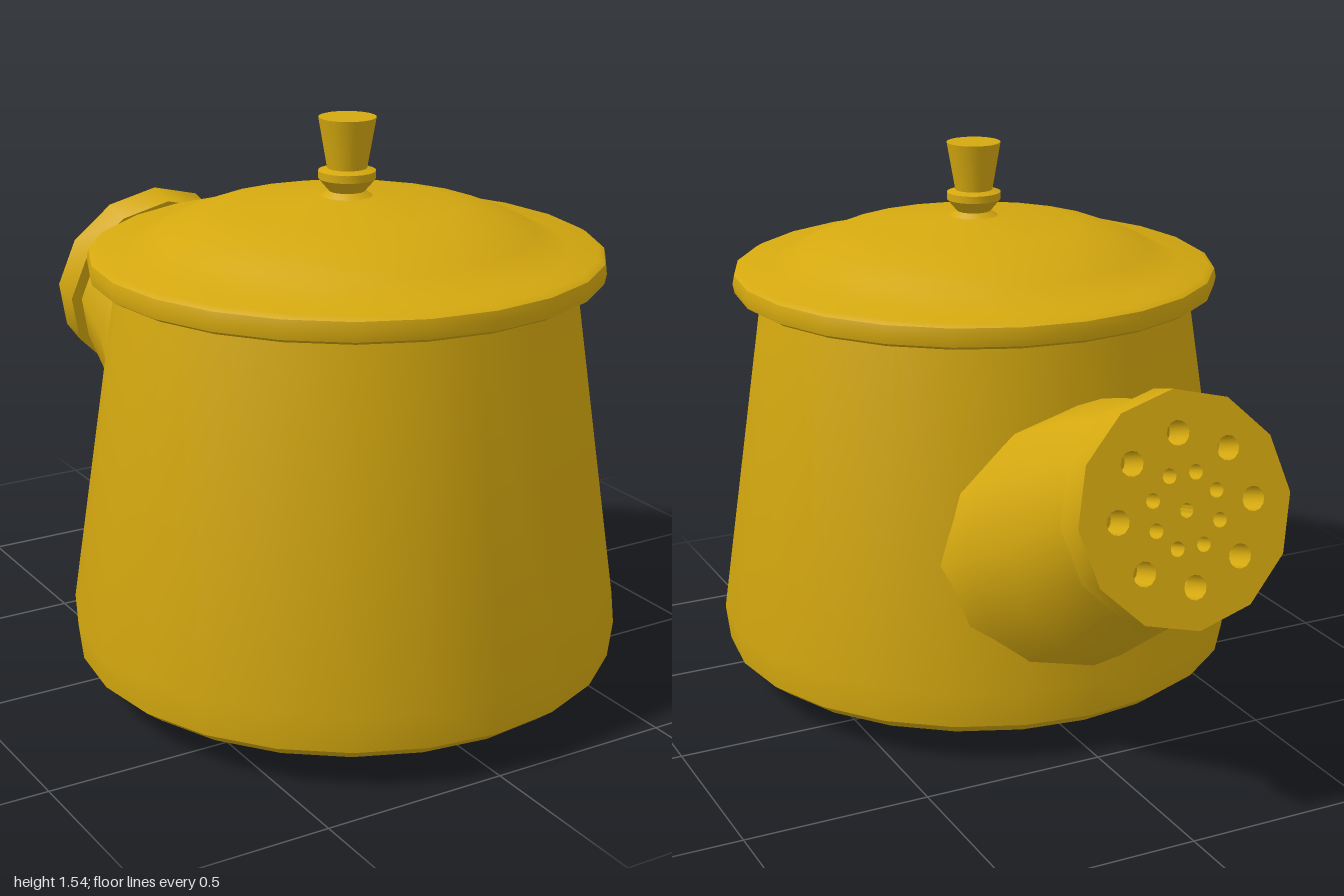
import * as THREE from 'three';
import { toCreasedNormals } from 'three/addons/utils/BufferGeometryUtils.js';

const material = new THREE.MeshStandardMaterial({ color: 0xd4a80f, side: THREE.DoubleSide });
const AXIS_Z = 0.26; // centre of the pot

function addMesh(parent, name, geometry) {
  const mesh = new THREE.Mesh(geometry, material);
  mesh.name = name;
  parent.add(mesh);
  return mesh;
}

// Turned part about the pot's axis, profile as [radius, height] from bottom to top
function addTurned(parent, name, profile) {
  const points = profile.map(([r, y]) => new THREE.Vector2(r, y));
  const geometry = toCreasedNormals(new THREE.LatheGeometry(points, 24), 0.65);
  addMesh(parent, name, geometry).position.z = AXIS_Z;
}

// Skin over tilted elliptical sections: [top y, top z, bottom y, bottom z, half width]
function loftSpout(sections, sides) {
  const positions = [], index = [];
  sections.forEach(([ty, tz, by, bz, w], i) => {
    for (let j = 0; j < sides; j++) {
      const a = (j / sides) * Math.PI * 2, c = Math.cos(a) / 2;
      positions.push(w * Math.sin(a), (ty + by) / 2 + (ty - by) * c, (tz + bz) / 2 + (tz - bz) * c);
      if (i === sections.length - 1) continue;
      const p = i * sides + j, q = i * sides + ((j + 1) % sides);
      index.push(p, q, p + sides, q, q + sides, p + sides);
    }
  });
  const geometry = new THREE.BufferGeometry();
  geometry.setAttribute('position', new THREE.Float32BufferAttribute(positions, 3));
  geometry.setIndex(index);
  geometry.computeVertexNormals();
  return geometry;
}

// Twelve-sided plate pierced by a centre hole and two rings of holes
function sprinklerPlate(radius, depth) {
  const shape = new THREE.Shape();
  for (let i = 0; i < 12; i++) {
    const a = (i / 12) * Math.PI * 2;
    shape[i ? 'lineTo' : 'moveTo'](radius * Math.cos(a), radius * Math.sin(a));
  }
  shape.closePath();
  const punch = (x, y, r) => shape.holes.push(new THREE.Path().absarc(x, y, r, 0, Math.PI * 2, true));
  punch(0, 0, 0.018);
  for (let i = 0; i < 8; i++) {
    const a = (i / 8) * Math.PI * 2;
    punch(0.095 * Math.cos(a + 0.39), 0.095 * Math.sin(a + 0.39), 0.019);
    punch(0.187 * Math.cos(a), 0.187 * Math.sin(a), 0.031);
  }
  const plate = new THREE.ExtrudeGeometry(shape, { depth, bevelEnabled: false, curveSegments: 6 });
  return toCreasedNormals(plate, 0.65);
}

export function createModel() {
  const model = new THREE.Group();
  model.name = 'wateringPot';

  // Tapered pot with a shallow, pointed underside
  addTurned(model, 'body', [
    [0, 0], [0.53, 0.035], [0.68, 0.075], [0.725, 0.11], [0.737, 0.21], [0.6, 1.135],
  ]);

  // Lid: flat underside, rounded rim, low dome
  addTurned(model, 'lid', [
    [0, 1.13], [0.655, 1.13], [0.672, 1.14], [0.677, 1.165], [0.672, 1.19], [0.655, 1.2],
    [0.58, 1.2], [0.49, 1.245], [0.39, 1.285], [0.29, 1.305], [0.17, 1.318], [0.07, 1.332], [0, 1.335],
  ]);

  // Collared knob
  addTurned(model, 'knob', [
    [0.07, 1.33], [0.047, 1.345], [0.075, 1.378], [0.075, 1.398], [0.052, 1.405],
    [0.075, 1.537], [0, 1.537],
  ]);

  // Spout, wide where it enters the back of the body
  addMesh(model, 'spout', loftSpout([
    [0.88, -0.2, 0.17, -0.32, 0.385],
    [0.95, -0.36, 0.26, -0.475, 0.345],
    [1.01, -0.5, 0.35, -0.62, 0.303],
    [1.045, -0.62, 0.46, -0.735, 0.277],
    [1.075, -0.765, 0.565, -0.9, 0.26],
  ], 12));

  // Pierced head, tilted slightly upward
  const head = addMesh(model, 'sprinklerHead', sprinklerPlate(0.293, 0.094));
  head.position.set(0, 0.825, -0.832);
  head.lookAt(0, 0.825 + 0.264, -0.832 - 0.964);

  return model;
}
